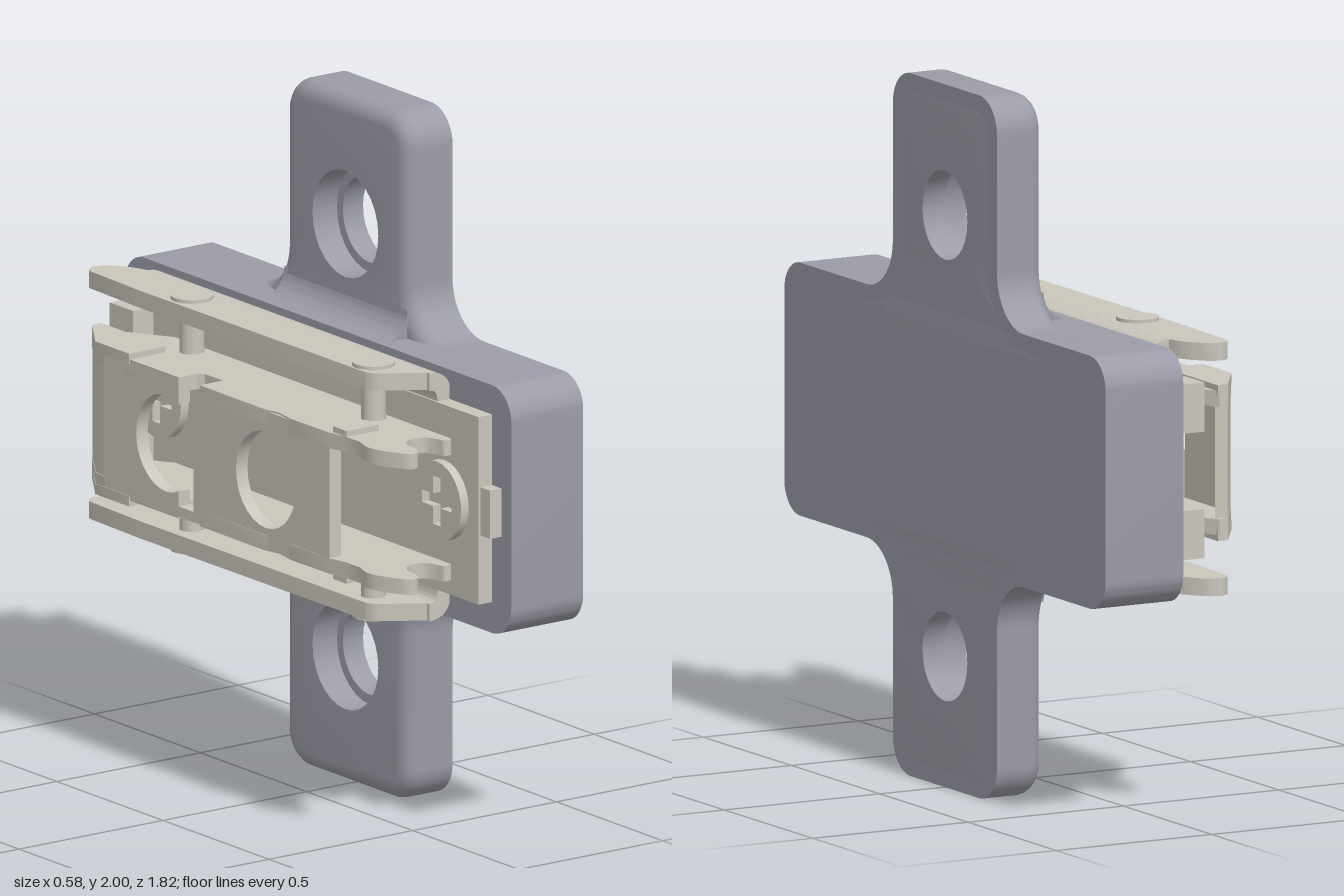
import * as THREE from 'three';
import { toCreasedNormals } from 'three/addons/utils/BufferGeometryUtils.js';

const plateMat = new THREE.MeshStandardMaterial({ color: 0x9c9ca8 });
const metalMat = new THREE.MeshStandardMaterial({ color: 0xcac6bc });

// Closed shape from [u, v, cornerRadius] points
function rounded(points) {
  const shape = new THREE.Shape();
  points.forEach(([x, y, r = 0], i) => {
    const p = new THREE.Vector2(x, y);
    const toward = (q) => {
      const d = new THREE.Vector2(q[0], q[1]).sub(p);
      return p.clone().addScaledVector(d.normalize(), r);
    };
    const a = toward(points[(i + points.length - 1) % points.length]);
    const b = toward(points[(i + 1) % points.length]);
    if (i) shape.lineTo(a.x, a.y); else shape.moveTo(a.x, a.y);
    if (r) {
      const c = a.clone().lerp(p, 0.55), d = b.clone().lerp(p, 0.55);
      shape.bezierCurveTo(c.x, c.y, d.x, d.y, b.x, b.y);
    }
  });
  shape.closePath();
  return shape;
}

const rect = (u0, v0, u1, v1, r = 0) => rounded([[u0, v0, r], [u1, v0, r], [u1, v1, r], [u0, v1, r]]);

function circleHole(u, v, r) {
  return new THREE.Path().absarc(u, v, r, 0, Math.PI * 2, true);
}

// Shape in (-z, y), running from x0 to x1
function alongX(shape, x0, x1, opts = {}) {
  return new THREE.ExtrudeGeometry(shape, { depth: x1 - x0, bevelEnabled: false, curveSegments: 14, ...opts })
    .rotateY(Math.PI / 2).translate(x0, 0, 0);
}

// Shape in (x, z), running down from the given top
function alongY(shape, top, thick) {
  return new THREE.ExtrudeGeometry(shape, { depth: thick, bevelEnabled: false, curveSegments: 8 })
    .rotateX(Math.PI / 2).translate(0, top, 0);
}

export function createModel() {
  const model = new THREE.Group();
  const add = (name, geometry, mat = metalMat) => {
    const mesh = new THREE.Mesh(toCreasedNormals(geometry, 0.6), mat);
    mesh.name = name;
    model.add(mesh);
    return mesh;
  };
  const box = (name, x0, x1, y0, y1, z0, z1) =>
    add(name, new THREE.BoxGeometry(x1 - x0, y1 - y0, z1 - z0)
      .translate((x0 + x1) / 2, (y0 + y1) / 2, (z0 + z1) / 2));
  // The same flat part above and below the middle
  const pair = (name, shape, top, thick) => {
    add(name + 'Upper', alongY(shape, top, thick));
    add(name + 'Lower', alongY(shape, 2 - top + thick, thick));
  };

  // Thick horizontal block
  add('spacerBlock', alongX(rect(-0.91, 0.64, 0.91, 1.36, 0.09), 0.04, 0.29), plateMat);

  // Screw arms: soft-edged front layer with a counterbore, plain back layer
  const holeY = 1.628;
  const armShape = (bottom, halfBase, holeR) => {
    const s = rounded([[-halfBase, bottom], [halfBase, bottom], [halfBase, 1.36], [0.295, 1.36, 0.15],
      [0.295, 2, 0.1], [-0.295, 2, 0.1], [-0.295, 1.36, 0.15], [-halfBase, 1.36]]);
    s.holes.push(circleHole(0, holeY, holeR));
    return s;
  };
  const b = 0.05;
  const frontArm = alongX(armShape(1.2, 0.6, 0.155), 0.135 + b, 0.24,
    { bevelEnabled: true, bevelThickness: b, bevelSize: b, bevelOffset: -b, bevelSegments: 5 });
  // Keep the counterbore wall straight where the edge rounding would flare it
  const pos = frontArm.attributes.position;
  for (let i = 0; i < pos.count; i++) {
    const dy = pos.getY(i) - holeY, dz = pos.getZ(i), d = Math.hypot(dy, dz);
    if (d < 0.225) {
      pos.setY(i, holeY + dy * 0.155 / d);
      pos.setZ(i, dz * 0.155 / d);
    }
  }
  const backArm = alongX(armShape(1.35, 0.46, 0.127), 0.22, 0.29);
  // Concave blend from the block to the arm face
  const blendShape = new THREE.Shape();
  blendShape.moveTo(0.055, 1.355);
  blendShape.absarc(0.055, 1.44, 0.082, -Math.PI / 2, 0, false);
  blendShape.lineTo(0.2, 1.44);
  blendShape.lineTo(0.2, 1.355);
  const blend = new THREE.ExtrudeGeometry(blendShape, { depth: 0.58, bevelEnabled: false })
    .translate(0, 0, -0.29);
  const flip = (g) => g.clone().translate(0, -1, 0).rotateX(Math.PI).translate(0, 1, 0);
  for (const [name, g] of [['armFront', frontArm], ['armBack', backArm], ['armBlend', blend]]) {
    add(name + 'Upper', g, plateMat);
    add(name + 'Lower', flip(g), plateMat);
  }

  // Base strip with end tongues and raised stops
  box('baseStrip', -0.008, 0.045, 0.73, 1.275, -0.82, 0.82);
  box('baseTongue', 0, 0.045, 0.93, 1.07, -0.845, 0.865);
  for (const s of [-1, 1]) {
    const y = 1 + s * 0.18;
    box('baseStop', -0.08, 0, y - 0.07, y + 0.07, -0.82, -0.71);
  }

  // Outer channel: web with curved bends, then the two flat flanges
  const channel = new THREE.Shape();
  channel.moveTo(-0.03, 1.36);
  channel.quadraticCurveTo(0.045, 1.36, 0.045, 1.28);
  channel.lineTo(0.045, 0.72);
  channel.quadraticCurveTo(0.045, 0.64, -0.03, 0.64);
  channel.lineTo(-0.03, 0.69);
  channel.quadraticCurveTo(-0.002, 0.69, -0.002, 0.73);
  channel.lineTo(-0.002, 1.27);
  channel.quadraticCurveTo(-0.002, 1.31, -0.03, 1.31);
  add('outerChannel', new THREE.ExtrudeGeometry(channel, { depth: 1.33, bevelEnabled: false })
    .translate(0, 0, -0.71));
  pair('outerFlange', rounded([[-0.025, 0.61], [-0.165, 0.52, 0.03], [-0.172, -0.55],
    [-0.163, -0.835, 0.045], [-0.1, -0.83, 0.03], [-0.045, -0.765, 0.03], [-0.025, -0.7]]), 1.36, 0.05);

  // Inner channel sides, ending in hooked forks, with a notch near the middle
  const side = new THREE.Shape();
  side.moveTo(-0.05, -0.55);
  [[-0.17, -0.745], [-0.2, -0.74], [-0.29, -0.6], [-0.29, -0.21], [-0.225, -0.21], [-0.21, -0.195],
    [-0.21, -0.11], [-0.29, -0.11], [-0.292, 0.2], [-0.28, 0.25], [-0.292, 0.32], [-0.29, 0.5],
    [-0.278, 0.56], [-0.278, 0.63]].forEach(([x, z]) => side.lineTo(x, z));
  side.splineThru([[-0.293, 0.68], [-0.285, 0.73], [-0.25, 0.8], [-0.222, 0.815], [-0.198, 0.79],
    [-0.188, 0.73], [-0.165, 0.7], [-0.135, 0.69], [-0.105, 0.7], [-0.088, 0.73], [-0.08, 0.755],
    [-0.065, 0.758], [-0.052, 0.74], [-0.052, 0.6]].map(([x, z]) => new THREE.Vector2(x, z)));
  pair('innerSide', side, 1.205, 0.045);
  pair('wing', rounded([[-0.165, -0.44], [-0.165, -0.745], [-0.2, -0.74], [-0.292, -0.6], [-0.292, -0.44]]),
    1.222, 0.03);
  pair('forkTab', rect(-0.278, 0.5, -0.165, 0.565), 1.222, 0.03);

  // Inner channel web: one round opening that breaks out at both edges, one closed opening
  const r = 0.14, zA = -0.27, zB = 0.2;
  const web = new THREE.Shape();
  const n0 = 0.11, n1 = 0.21;
  const lift = (u) => Math.sqrt(r * r - (u + zA) ** 2);
  web.moveTo(-0.5, 0.8);
  web.lineTo(0.56, 0.8);
  web.lineTo(0.56, 1.2);
  web.lineTo(n1, 1.2);
  web.lineTo(n1, 1 + lift(n1));
  const ang = (u) => Math.atan2(lift(u), u + zA);
  const a1 = ang(n1), cut = Math.PI - 0.35;
  // Right half of the opening, down to the lower notch
  web.absarc(-zA, 1, r, a1, -a1, true);
  web.lineTo(n1, 0.83);
  web.lineTo(0.14, 0.83);
  web.lineTo(0.14, 1 - lift(0.14));
  web.absarc(-zA, 1, r, -ang(0.14), -cut, true);
  web.lineTo(n0, 1.2);
  web.lineTo(-0.5, 1.2);
  web.closePath();
  web.holes.push(circleHole(-zB, 1, r));
  add('innerWeb', alongX(web, -0.29, -0.25));
  add('slopedWeb', alongY(rounded([[-0.288, -0.55], [-0.288, -0.6], [-0.205, -0.73],
    [-0.17, -0.72], [-0.25, -0.59], [-0.25, -0.55]]), 1.18, 0.36));

  // Rivet pins with flat heads through both channels
  for (const z of [-0.405, 0.45]) {
    for (const s of [-1, 1]) {
      add('pinHead', new THREE.CylinderGeometry(0.06, 0.06, 0.02, 32).translate(-0.1, 1 + s * 0.36, z));
      add('pinShaft', new THREE.CylinderGeometry(0.035, 0.035, 0.19, 24).translate(-0.1, 1 + s * 0.255, z));
    }
  }

  // Cross-slot screws at both ends of the base
  for (const z of [-0.66, 0.66]) {
    const head = new THREE.Shape().absarc(-z, 1, 0.115, 0, Math.PI * 2, false);
    const l = 0.07, w = 0.018;
    const slot = [[w, l], [w, w], [l, w], [l, -w], [w, -w], [w, -l],
      [-w, -l], [-w, -w], [-l, -w], [-l, w], [-w, w], [-w, l]];
    head.holes.push(new THREE.Path(slot.map(([u, v]) => new THREE.Vector2(u - z, v + 1))));
    add('screwHead', alongX(head, -0.035, 0));
  }

  return model;
}
